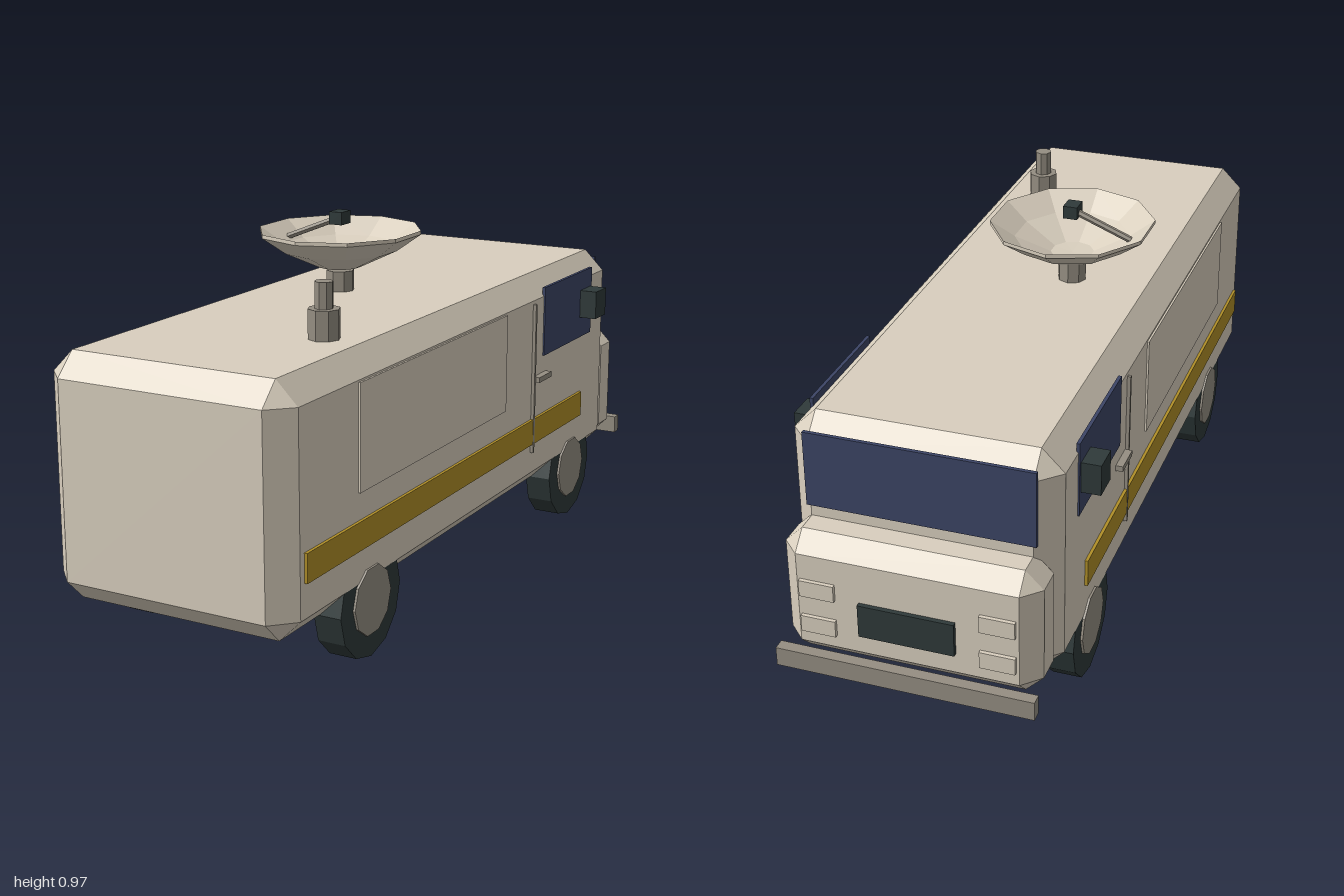
import * as THREE from 'three';
import { ConvexGeometry } from 'three/addons/geometries/ConvexGeometry.js';

const paint = (color) => new THREE.MeshStandardMaterial({ color, flatShading: true });
const cream = paint(0xd9cfbe), metal = paint(0x958e82), dark = paint(0x2f3a3a);
const glass = paint(0x3c4566), gold = paint(0xb08f28);

// Box given by its limits on each axis
function block(name, material, [x0, x1], [y0, y1], [z0, z1]) {
  const mesh = new THREE.Mesh(new THREE.BoxGeometry(x1 - x0, y1 - y0, z1 - z0), material);
  mesh.position.set((x0 + x1) / 2, (y0 + y1) / 2, (z0 + z1) / 2);
  mesh.name = name;
  return mesh;
}

// Box with every edge and corner cut off by the chamfer c
function chamferBlock(name, w, h, d, c, y, z) {
  const points = [];
  for (const sx of [-1, 1]) for (const sy of [-1, 1]) for (const sz of [-1, 1]) {
    for (let axis = 0; axis < 3; axis++) {
      const cut = [0, 1, 2].map((i) => (i === axis ? 0 : c));
      points.push(new THREE.Vector3(sx * (w / 2 - cut[0]), sy * (h / 2 - cut[1]), sz * (d / 2 - cut[2])));
    }
  }
  const mesh = new THREE.Mesh(new ConvexGeometry(points), cream);
  mesh.position.set(0, y, z);
  mesh.name = name;
  return mesh;
}

function cylinder(name, material, r, h, sides, x, y, z) {
  const mesh = new THREE.Mesh(new THREE.CylinderGeometry(r, r, h, sides), material);
  mesh.position.set(x, y, z);
  mesh.name = name;
  return mesh;
}

// Box on the side s (+1 left, -1 right)
function sideBlock(name, material, s, [x0, x1], y, z) {
  return block(name, material, s > 0 ? [x0, x1] : [-x1, -x0], y, z);
}

function createWheel(s, z) {
  const wheel = new THREE.Group();
  wheel.name = 'wheel';
  const tyre = cylinder('tyre', dark, 0.145, 0.073, 12, 0, 0, 0);
  const hub = cylinder('hub', metal, 0.088, 0.03, 10, 0, 0.0275, 0);
  wheel.add(tyre, hub);
  wheel.rotation.z = -s * Math.PI / 2;
  wheel.position.set(s * 0.296, 0.145, z);
  return wheel;
}

function createDish() {
  const dish = new THREE.Group();
  dish.name = 'satelliteDish';
  dish.position.set(-0.073, 0, 0.06);
  dish.add(cylinder('pedestal', metal, 0.038, 0.057, 8, 0, 0.783, 0));
  // Shallow bowl with a thin wall
  const profile = [[0, 0.82], [0.06, 0.821], [0.16, 0.866], [0.2275, 0.912],
    [0.2275, 0.922], [0.16, 0.878], [0.06, 0.834], [0, 0.832]];
  const bowl = new THREE.Mesh(
    new THREE.LatheGeometry(profile.map(([r, y]) => new THREE.Vector2(r, y)), 10), cream);
  bowl.scale.x = 0.95;
  bowl.name = 'bowl';
  // Feed arm and receiver
  const path = new THREE.LineCurve3(new THREE.Vector3(-0.16, 0.888, 0), new THREE.Vector3(0, 0.952, 0));
  const arm = new THREE.Mesh(new THREE.TubeGeometry(path, 1, 0.009, 6), metal);
  arm.name = 'feedArm';
  dish.add(bowl, arm, block('receiver', dark, [-0.019, 0.019], [0.935, 0.969], [-0.024, 0.024]));
  return dish;
}

export function createModel() {
  const van = new THREE.Group();
  van.name = 'broadcastVan';

  // Body and nose
  van.add(chamferBlock('body', 0.666, 0.61, 1.86, 0.057, 0.452, 0.07));
  van.add(chamferBlock('hood', 0.64, 0.337, 0.16, 0.045, 0.3315, -0.88));
  van.add(block('windshield', glass, [-0.285, 0.285], [0.53, 0.727], [-0.865, -0.855]));
  van.add(block('grille', dark, [-0.12, 0.12], [0.262, 0.35], [-0.972, -0.95]));
  van.add(block('bumper', metal, [-0.325, 0.325], [0.15, 0.2], [-1, -0.97]));

  // Parts that repeat on both sides
  for (const s of [1, -1]) {
    van.add(sideBlock('sideWindow', glass, s, [0.328, 0.337], [0.53, 0.725], [-0.71, -0.37]));
    van.add(sideBlock('mirror', dark, s, [0.337, 0.386], [0.59, 0.67], [-0.7, -0.625]));
    van.add(sideBlock('stripe', gold, s, [0.328, 0.341], [0.29, 0.362], [-0.645, 0.925]));
    van.add(sideBlock('sidePanel', cream, s, [0.328, 0.338], [0.43, 0.695], [-0.12, 0.68]));
    van.add(sideBlock('doorSeam', metal, s, [0.33, 0.342], [0.265, 0.69], [-0.306, -0.297]));
    van.add(sideBlock('doorHandle', metal, s, [0.33, 0.352], [0.467, 0.482], [-0.392, -0.308]));
    for (const y of [0.265, 0.365]) {
      van.add(sideBlock('headlight', cream, s, [0.18, 0.268], [y - 0.022, y + 0.022], [-0.97, -0.95]));
    }
    for (const z of [0.62, -0.585]) van.add(createWheel(s, z));
  }

  // Roof equipment
  van.add(createDish());
  van.add(cylinder('ventBase', metal, 0.04, 0.075, 8, 0.177, 0.793, 0.568));
  van.add(cylinder('ventPipe', metal, 0.023, 0.075, 8, 0.177, 0.858, 0.568));
  return van;
}
